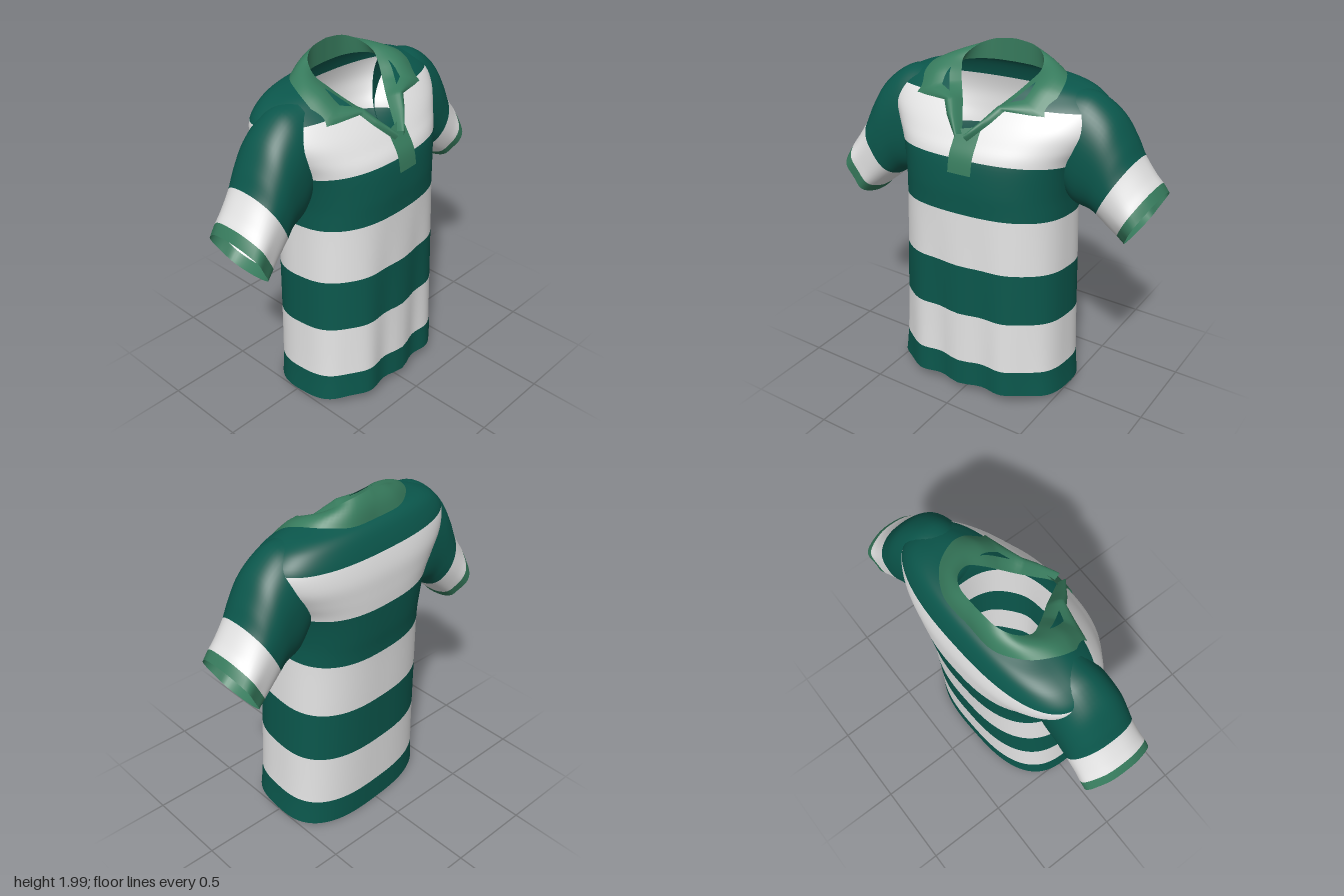
import * as THREE from 'three';

const paint = (name, color) => {
  const m = new THREE.MeshStandardMaterial({ color, side: THREE.DoubleSide });
  m.name = name;
  return m;
};

// Grid surface from point(u, v); each row of cells takes the material index band(row)
function loft(name, point, cols, rows, closed, materials, band = () => 0) {
  const pos = [], index = [], geo = new THREE.BufferGeometry();
  const n = closed ? cols : cols + 1;
  for (let j = 0; j <= rows; j++)
    for (let i = 0; i < n; i++) pos.push(...point(i / cols, j / rows));
  for (let j = 0; j < rows; j++) {
    geo.addGroup(index.length, cols * 6, band(j));
    for (let i = 0; i < cols; i++) {
      const a = j * n + i, b = j * n + (i + 1) % n;
      index.push(a, a + n, b, b, a + n, b + n);
    }
  }
  geo.setAttribute('position', new THREE.Float32BufferAttribute(pos, 3));
  geo.setIndex(index);
  geo.computeVertexNormals();
  const mesh = new THREE.Mesh(geo, materials);
  mesh.name = name;
  return mesh;
}

// Smooth interpolation through rows of numbers at position t
function sample(keys, t) {
  const last = keys.length - 1;
  const i = Math.min(Math.floor(t), last - 1), f = t - i;
  const k = (q) => keys[Math.max(0, Math.min(last, q))];
  return keys[0].map((_, c) => {
    const p1 = k(i)[c], p2 = k(i + 1)[c];
    const m1 = (p2 - k(i - 1)[c]) / 2, m2 = (k(i + 2)[c] - p1) / 2;
    const f2 = f * f, f3 = f2 * f;
    return (2 * f3 - 3 * f2 + 1) * p1 + (f3 - 2 * f2 + f) * m1 + (3 * f2 - 2 * f3) * p2 + (f3 - f2) * m2;
  });
}
// Straight interpolation, keeping the corners
function polyline(keys, t) {
  const i = Math.min(keys.length - 2, Math.floor(t)), f = t - i;
  return keys[i].map((a, c) => a + (keys[i + 1][c] - a) * f);
}
const power = (v, e) => Math.sign(v) * Math.pow(Math.abs(v), e);
const TWIST = 0.06; // the cloth turns slightly about its upright axis

// Torso rings: height, half width, front z, back z, forward tilt, roundness
const BODY = [
  [0.04, 0.52, 0.372, -0.315, 0.11, 0.72], [0.20, 0.505, 0.37, -0.32, 0.11, 0.73],
  [0.52, 0.492, 0.368, -0.33, 0.11, 0.75], [0.83, 0.482, 0.367, -0.342, 0.11, 0.77],
  [1.15, 0.472, 0.366, -0.355, 0.11, 0.79], [1.30, 0.475, 0.366, -0.370, 0.11, 0.8],
  [1.46, 0.505, 0.345, -0.380, 0.11, 0.8], [1.56, 0.565, 0.295, -0.382, 0.10, 0.8],
  [1.655, 0.62, 0.235, -0.378, 0.09, 0.8], [1.75, 0.62, 0.16, -0.355, 0.08, 0.8],
  [1.812, 0.55, 0.10, -0.325, 0.03, 0.8], [1.845, 0.46, 0.065, -0.295, 0, 0.8],
  [1.865, 0.35, 0.04, -0.26, 0, 0.8], [1.88, 0.27, 0.02, -0.22, 0, 0.8],
];
const BODY_BAND = [0, 1, 0, 1, 0, 0, 1, 1, 1, 0, 0, 0, 0];

function bodyPoint(angle, t) {
  const [h, w, zf, zb, tilt, round] = sample(BODY, t);
  const x = w * power(Math.cos(angle), round);
  const s = power(Math.sin(angle), round);
  let z = (zf + zb) / 2 + s * (zf - zb) / 2;
  const y = h + tilt * z;
  // soft folds at the lower front
  z += 0.016 * Math.cos(x * 23) * Math.max(0, s) * Math.max(0, 1 - h / 1.2);
  return [x, y, z - TWIST * x];
}

// Torso with the open neck cut into its front
function neckedPoint(angle, t) {
  const over = (q) => {
    const [x, y] = bodyPoint(angle, q);
    return y > 1.58 + 1.02 * Math.abs(x) + 0.35 * x * x;
  };
  if (Math.sin(angle) > 0 && over(t)) {
    let lo = 5, hi = t;
    for (let k = 0; k < 18; k++) {
      const mid = (lo + hi) / 2;
      if (over(mid)) hi = mid; else lo = mid;
    }
    t = lo;
  }
  return bodyPoint(angle, t);
}

// Sleeve rings: top x, top y, bottom x, bottom y, half depth
const SLEEVE = [
  [0.44, 1.84, 0.43, 1.30, 0.175], [0.56, 1.825, 0.49, 1.22, 0.188],
  [0.68, 1.74, 0.57, 1.20, 0.193], [0.76, 1.62, 0.60, 1.195, 0.193],
  [0.81, 1.52, 0.63, 1.18, 0.192], [0.87, 1.43, 0.71, 1.12, 0.193],
  [0.912, 1.378, 0.757, 1.09, 0.197], [0.945, 1.33, 0.80, 1.055, 0.197],
];
const SLEEVE_BAND = [0, 0, 0, 0, 1, 1, 2];

function sleevePoint(side, angle, t) {
  const [tx, ty, bx, by, d] = sample(SLEEVE, t);
  const s = power(Math.sin(angle), 0.88), c = power(Math.cos(angle), 0.88);
  const k = (1 + s) / 2;
  const x = side * (bx + (tx - bx) * k);
  const droop = side < 0 ? 0.06 * t / 7 : 0;
  const wave = 1 + 0.06 * Math.sin(angle * 5 + side) * Math.max(0, (t - 3) / 4);
  return [x, by + (ty - by) * k - droop, -0.06 - 0.088 * x + c * d * wave];
}

// Collar curves for one side, from the back centre to the front
const FOLD = [[0, 2.0, -0.215], [0.12, 1.985, -0.205], [0.2, 1.95, -0.16], [0.235, 1.90, -0.08],
  [0.205, 1.85, -0.01], [0.165, 1.80, 0.05], [0.11, 1.74, 0.125], [0.06, 1.675, 0.205], [0.01, 1.615, 0.285]];
const OUTER = [[0, 1.862, -0.268], [0.18, 1.87, -0.265], [0.32, 1.885, -0.18], [0.39, 1.875, -0.06],
  [0.405, 1.83, 0.035], [0.39, 1.735, 0.145], [0.18, 1.745, 0.19], [0.13, 1.685, 0.243], [0.035, 1.592, 0.312]];
const STAND = [[0, 1.87, -0.215], [0.12, 1.87, -0.205], [0.215, 1.87, -0.16], [0.255, 1.87, -0.08],
  [0.225, 1.835, 0], [0.185, 1.785, 0.065], [0.13, 1.715, 0.14], [0.075, 1.65, 0.215], [0.02, 1.59, 0.285]];

// Strip from the fold to a lower edge, mirrored across the front opening
const collarStrip = (low, edge, bulge) => (u, v) => {
  const side = u < 0.5 ? -1 : 1;
  const t = Math.abs(u * 2 - 1) * 8;
  const a = sample(FOLD, t), b = edge(low, t);
  const p = a.map((q, c) => q + (b[c] - q) * v);
  const front = THREE.MathUtils.clamp((t - 2.2) / 2, -1, 1);
  const lift = bulge * Math.sin(v * Math.PI) * (0.65 + 0.35 * front);
  return [side * p[0], p[1] + lift * 0.7, p[2] + lift * front - TWIST * side * p[0]];
};

export function createModel() {
  const green = paint('dark green', 0x0b574c);
  const white = paint('white', 0xe4e4e4);
  const trim = paint('light green', 0x377b5d);
  const cloth = [green, white, trim];
  const shirt = new THREE.Group();
  shirt.name = 'shirt';

  // Striped torso
  const segs = BODY.length - 1, sub = 5;
  shirt.add(loft('torso', (u, v) => neckedPoint(u * Math.PI * 2, v * segs),
    120, segs * sub, true, cloth, (j) => BODY_BAND[Math.floor(j / sub)]));

  // Sleeves with a white band and a trimmed cuff
  for (const side of [1, -1]) {
    const n = SLEEVE.length - 1;
    shirt.add(loft(side > 0 ? 'leftSleeve' : 'rightSleeve',
      (u, v) => sleevePoint(side, -side * u * Math.PI * 2, v * n),
      56, n * 5, true, cloth, (j) => SLEEVE_BAND[Math.floor(j / 5)]));
  }

  // Folded collar: outer leaf and inner stand
  const leafEdge = (keys, t) => (t > 4 ? polyline : sample)(keys, t);
  shirt.add(loft('collar', collarStrip(OUTER, leafEdge, 0.03), 96, 8, false, [trim]));
  shirt.add(loft('collarStand', collarStrip(STAND, sample, 0), 96, 4, false, [trim]));

  // Placket lying on the chest
  shirt.add(loft('placket', (u, v) => {
    const x = -0.05 + 0.138 * u;
    const t = 5.5 + (2.0 + 0.35 * u) * v;
    const key = sample(BODY, t);
    const c = power(x / key[1], 1 / key[5]);
    const p = bodyPoint(Math.acos(c), t);
    return [p[0], p[1], p[2] + 0.009];
  }, 8, 12, false, [trim]));

  return shirt;
}
